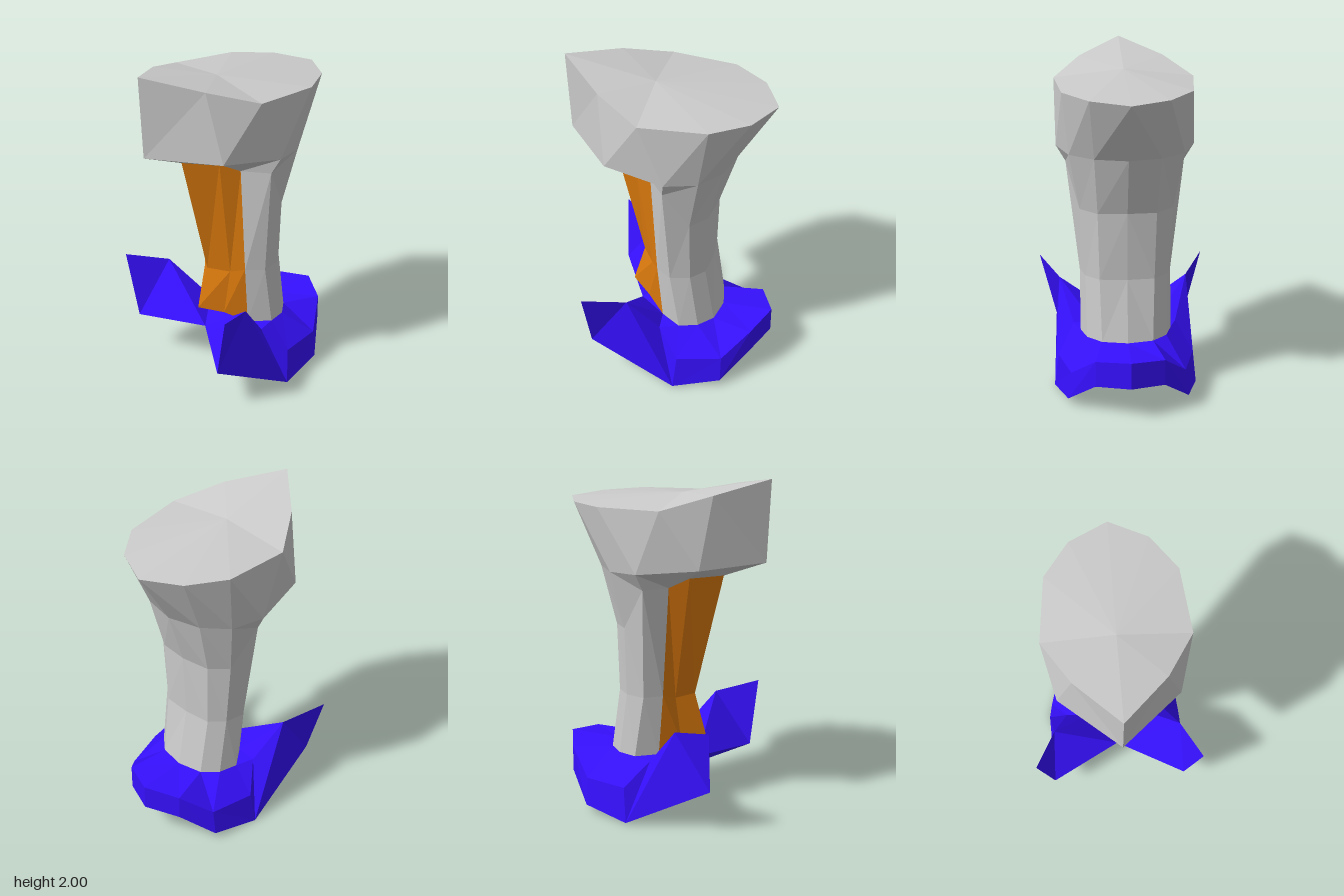
import * as THREE from 'three';

// Builds a faceted mesh from strips of half rows (+z side, front to back), mirrored in z.
function mirroredStrips(name, color, strips) {
  const pos = [];
  const same = (a, b) => a.every((v, i) => v === b[i]);
  const tri = (a, b, c) => {
    if (same(a, b) || same(b, c) || same(a, c)) return;
    pos.push(...a, ...b, ...c);
    for (const p of [a, c, b]) pos.push(p[0], p[1], -p[2]);
  };
  for (const [top, bottom] of strips) {
    for (let i = 0; i < top.length - 1; i++) {
      tri(top[i], top[i + 1], bottom[i + 1]);
      tri(top[i], bottom[i + 1], bottom[i]);
    }
  }
  const geo = new THREE.BufferGeometry();
  geo.setAttribute('position', new THREE.Float32BufferAttribute(pos, 3));
  geo.computeVertexNormals();
  const mesh = new THREE.Mesh(geo, new THREE.MeshStandardMaterial({
    color, flatShading: true, side: THREE.DoubleSide,
  }));
  mesh.name = name;
  return mesh;
}

export function createModel() {
  const group = new THREE.Group();
  group.name = 'pedestal';

  // Cross-sections of the head and column, from the +x end round to the -x end
  const tip = [-0.62, 2, 0], ridge = [-0.1, 1.9, 0];
  const rim = [[0.59, 1.84, 0], [0.48, 1.845, 0.22], [0.28, 1.85, 0.365],
    [-0.1, 1.855, 0.405], [-0.36, 1.93, 0.25], tip];
  const brow = [[0.375, 1.48, 0], [0.33, 1.48, 0.19], [0.22, 1.48, 0.33],
    [0.04, 1.49, 0.4], [-0.31, 1.525, 0.34], [-0.6, 1.525, 0]];
  const neck = [[0.27, 1.14, 0], [0.245, 1.135, 0.17], [0.16, 1.14, 0.27],
    [0.02, 1.39, 0.345], [-0.085, 1.38, 0.2]];
  const waist = [[0.25, 0.73, 0], [0.235, 0.73, 0.16], [0.16, 0.73, 0.24],
    [0.045, 0.73, 0.27], [-0.05, 0.73, 0.2]];
  const foot = [[0.32, 0.36, 0], [0.29, 0.36, 0.15], [0.21, 0.36, 0.235],
    [0.1, 0.36, 0.27], [-0.02, 0.36, 0.19]];

  // Rear spine sections, starting on the column's back edge
  const spineTop = [neck[4], [-0.19, 1.43, 0.14], [-0.35, 1.43, 0]];
  const spineMid = [waist[4], [-0.1, 0.7, 0.12], [-0.18, 0.7, 0]];
  const spineLow = [foot[4], [-0.13, 0.42, 0.1], [-0.25, 0.45, 0]];

  // Head: ridged top, flared wall and the underside of the overhang
  group.add(mirroredStrips('head', 0xcccccc, [
    [[rim[0], ridge, ridge, ridge, ridge, tip], rim],
    [rim, brow],
    [[brow[3], brow[4], brow[4], brow[5]], [neck[3], ...spineTop]],
  ]));

  group.add(mirroredStrips('column', 0xcccccc, [
    [brow.slice(0, 4), neck.slice(0, 4)],
    [neck, waist],
    [waist, foot],
  ]));

  group.add(mirroredStrips('rearSpine', 0xdd7b0e, [
    [spineTop, spineMid],
    [spineMid, spineLow],
  ]));

  // Base: upper edge, lower edge, hollow underside and the two swept fins
  const upper = [[0.62, 0.37, 0], [0.53, 0.345, 0.2], [0.38, 0.21, 0.335],
    [0.12, 0.21, 0.405], [-0.01, 0.36, 0.31]];
  const finLow = [-0.41, 0.26, 0.41], finTip = [-0.43, 0.65, 0.51], finTop = [-0.19, 0.59, 0.39];
  const lower = [[0.62, 0.21, 0], [0.53, 0.19, 0.2], [0.38, 0.045, 0.355],
    [0.1, 0, 0.43], finLow];
  const back = [-0.2, 0.3, 0], hub = [0.1, 0.12, 0];
  const hollow = [[0.42, 0.125, 0], [0.4, 0.12, 0.15], [0.3, 0.12, 0.22],
    [0.1, 0.12, 0.22], back];
  const heel = foot[4];
  group.add(mirroredStrips('base', 0x3610ff, [
    [foot, upper],
    [upper.slice(0, 4), lower.slice(0, 4)],
    [lower, hollow],
    [hollow, hollow.map(() => hub)],
    [[upper[3], upper[4], finTop, finTip], [lower[3], lower[3], lower[3], finLow]],
    [[finTip, finTop, heel], [finLow, finLow, back]],
    [[heel, heel], [upper[4], finTop]],
    [[heel, [heel[0], heel[1], 0]], [back, back]],
  ]));

  return group;
}
